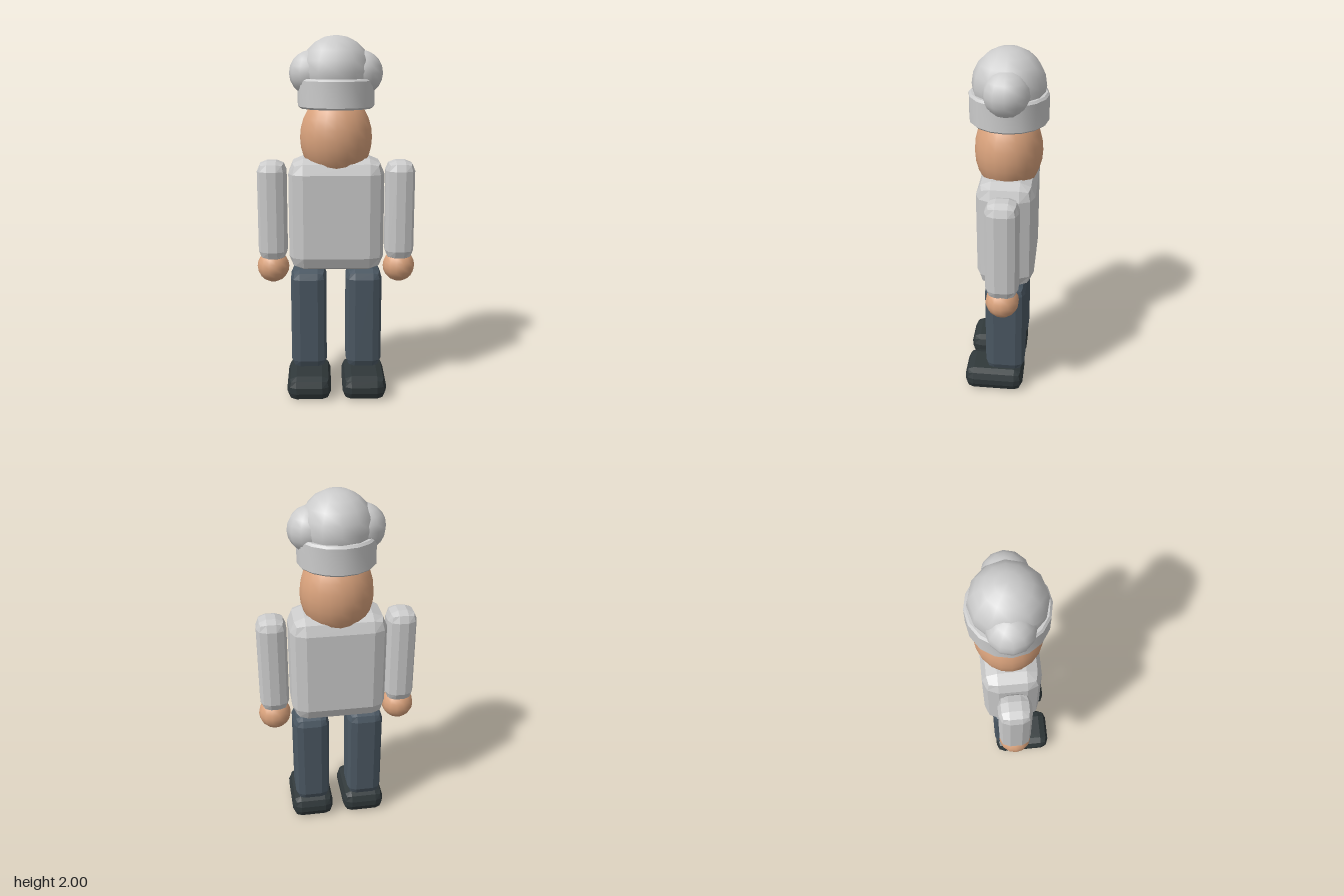
import * as THREE from 'three';
import { RoundedBoxGeometry } from 'three/addons/geometries/RoundedBoxGeometry.js';
import { toCreasedNormals } from 'three/addons/utils/BufferGeometryUtils.js';

const Z = -0.015; // depth of the body's axis

const material = (color, flatShading = false) => new THREE.MeshStandardMaterial({ color, flatShading });

export function createModel() {
  const model = new THREE.Group();
  const cloth = material(0xcccccc, true);
  const trousers = material(0x4b5863, true);
  const leather = material(0x30383a, true);
  const hatCloth = material(0xcccccc);
  const skin = material(0xd9a27c);

  function add(name, geometry, mat, x, y, z = Z) {
    const mesh = new THREE.Mesh(geometry, mat);
    mesh.name = name;
    mesh.position.set(x, y, z);
    model.add(mesh);
    return mesh;
  }
  // box with faceted, two-step edges
  const block = (w, h, d, r) => new RoundedBoxGeometry(w, h, d, 1, r);

  // torso and head
  add('torso', block(0.52, 0.62, 0.31, 0.08), cloth, 0, 1.043);
  add('head', new THREE.SphereGeometry(1, 20, 14), skin, 0, 1.46).scale.set(0.196, 0.24, 0.18);

  // limbs, mirrored
  for (const [side, s] of [['left', 1], ['right', -1]]) {
    add(side + 'Arm', block(0.16, 0.56, 0.175, 0.055), cloth, s * 0.353, 1.055);
    add(side + 'Hand', new THREE.SphereGeometry(0.09, 14, 10), skin, s * 0.355, 0.732);
    add(side + 'Leg', block(0.2, 0.585, 0.225, 0.05), trousers, s * 0.155, 0.435);
    add(side + 'Shoe', block(0.245, 0.135, 0.34, 0.05), leather, s * 0.155, 0.0675, 0.05);
  }

  // hat: bevelled band with a large puff and two side puffs
  const bandProfile = [
    [0, 1.62], [0.195, 1.62], [0.206, 1.63], [0.206, 1.765], [0.195, 1.776], [0, 1.776],
  ].map(([r, y]) => new THREE.Vector2(r, y));
  add('hatBand', toCreasedNormals(new THREE.LatheGeometry(bandProfile, 16), 0.7), hatCloth, 0, 0);
  add('hatCrown', new THREE.SphereGeometry(0.19, 12, 10), hatCloth, 0, 1.81);
  for (const [side, s] of [['left', 1], ['right', -1]]) {
    add(side + 'HatPuff', new THREE.SphereGeometry(0.12, 12, 10), hatCloth, s * 0.131, 1.803);
  }

  return model;
}
